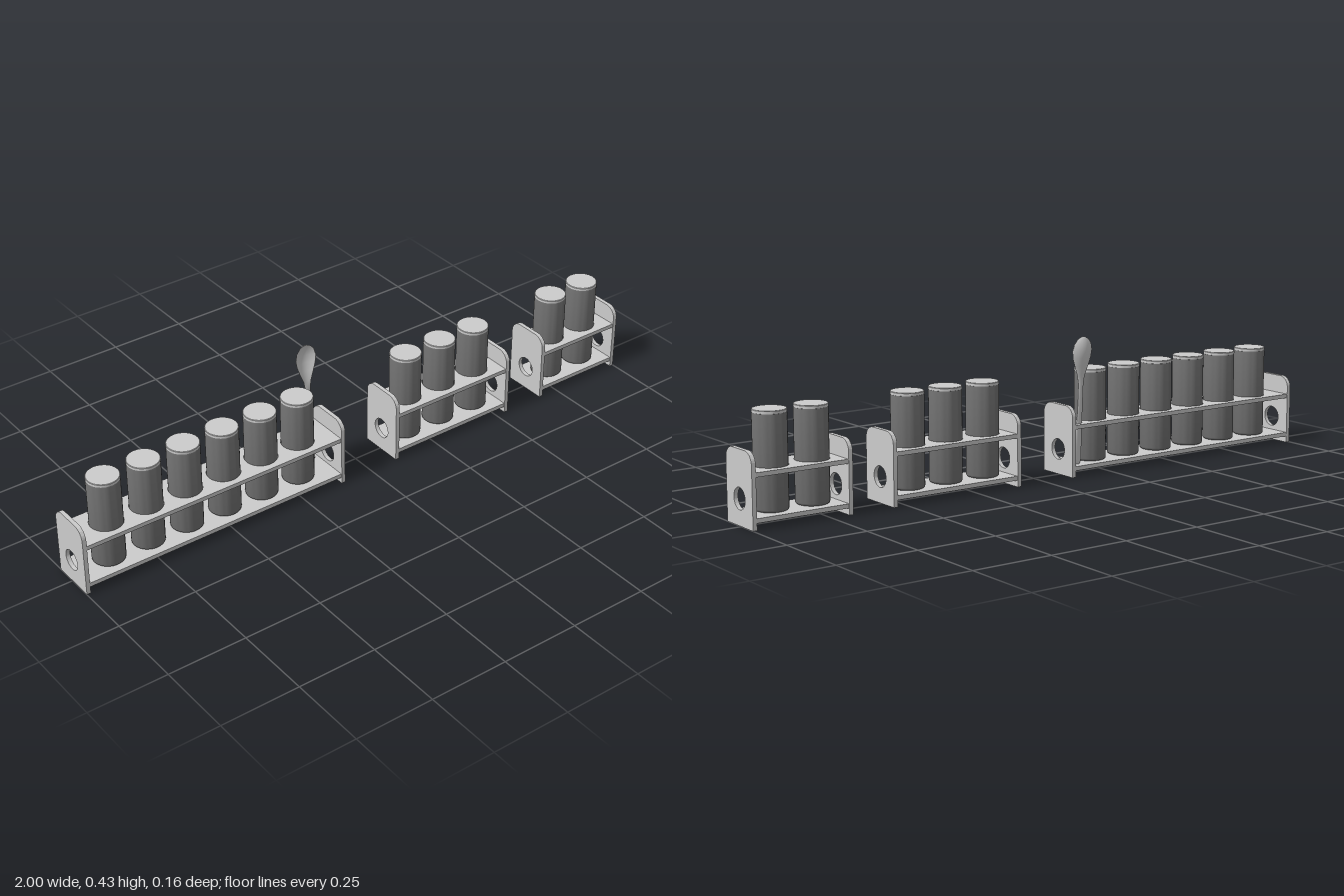
import * as THREE from 'three';
import { toCreasedNormals } from 'three/addons/utils/BufferGeometryUtils.js';

const Z = 0.006;          // depth centre of every rack
const DEPTH = 0.145;
const HEIGHT = 0.218;
const BOARD = 0.013;
const TUBE_R = 0.0495;
const PITCH = 0.132;

const grey = new THREE.MeshStandardMaterial({ color: 0xcccccc });
const dark = new THREE.MeshStandardMaterial({ color: 0x707070 });
const thin = new THREE.MeshStandardMaterial({ color: 0xcccccc, side: THREE.DoubleSide });

function add(parent, name, geometry, material = grey) {
  const mesh = new THREE.Mesh(geometry, material);
  mesh.name = name;
  parent.add(mesh);
  return mesh;
}

function circleHole(x, y, r) {
  return new THREE.Path().absarc(x, y, r, 0, Math.PI * 2, true);
}

function extrude(shape) {
  const g = new THREE.ExtrudeGeometry(shape, { depth: BOARD, bevelEnabled: false, curveSegments: 24 });
  return toCreasedNormals(g.translate(0, 0, -BOARD / 2), 0.6);
}

// Upright board with rounded top corners and a round finger hole
function endPanelGeometry() {
  const h = DEPTH / 2, r = 0.036;
  const s = new THREE.Shape();
  s.moveTo(-h, 0);
  s.lineTo(h, 0);
  s.lineTo(h, HEIGHT - r);
  s.absarc(h - r, HEIGHT - r, r, 0, Math.PI / 2);
  s.lineTo(-h + r, HEIGHT);
  s.absarc(-h + r, HEIGHT - r, r, Math.PI / 2, Math.PI);
  s.closePath();
  s.holes.push(circleHole(0, 0.078, 0.032));
  return extrude(s).rotateY(-Math.PI / 2);
}

// Horizontal board, with one hole per container
function shelfGeometry(x0, x1, holes) {
  const h = DEPTH / 2 - 0.002;
  const s = new THREE.Shape();
  s.moveTo(x0, -h);
  s.lineTo(x1, -h);
  s.lineTo(x1, h);
  s.lineTo(x0, h);
  s.closePath();
  for (const x of holes) s.holes.push(circleHole(x, 0, TUBE_R + 0.001));
  return extrude(s).rotateX(Math.PI / 2);
}

function lathe(points) {
  const g = new THREE.LatheGeometry(points.map(([r, y]) => new THREE.Vector2(r, y)), 40);
  return toCreasedNormals(g, 0.6);
}

// Canister body with softened bottom and shoulder
const bodyGeometry = lathe([
  [0, 0.033], [0.042, 0.033], [0.046, 0.0345], [0.0485, 0.037], [TUBE_R, 0.041],
  [TUBE_R, 0.307], [0.0485, 0.3105], [0.047, 0.311], [0, 0.311],
]);
const lidGeometry = lathe([
  [0, 0.311], [TUBE_R, 0.311], [TUBE_R, 0.3185], [0.048, 0.32], [0, 0.32],
]);
const panelGeometry = endPanelGeometry();

function createRack(name, x0, x1, firstTube, count) {
  const rack = new THREE.Group();
  rack.name = name;
  rack.position.z = Z;
  const tubes = Array.from({ length: count }, (_, i) => firstTube + i * PITCH);
  const a = x0 + BOARD / 2, b = x1 - BOARD / 2;

  add(rack, 'rightEndPanel', panelGeometry).position.x = a;
  add(rack, 'leftEndPanel', panelGeometry).position.x = b;
  add(rack, 'bottomShelf', shelfGeometry(x0 + BOARD, x1 - BOARD, [])).position.y = 0.0265;
  add(rack, 'holdingShelf', shelfGeometry(x0 + BOARD, x1 - BOARD, tubes)).position.y = 0.1545;

  for (const x of tubes) {
    const container = new THREE.Group();
    container.name = 'container';
    container.position.x = x;
    add(container, 'containerBody', bodyGeometry, dark);
    add(container, 'containerLid', lidGeometry);
    rack.add(container);
  }
  return rack;
}

// Spoon lofted from cross-sections: height, half width, front z, dish depth, thickness
function spoonGeometry() {
  const keys = [
    [0.031, 0.004, -0.033, 0, 0.005], [0.036, 0.011, -0.033, 0, 0.007], [0.05, 0.0135, -0.034, 0, 0.007],
    [0.12, 0.0115, -0.039, 0, 0.007], [0.22, 0.009, -0.046, 0, 0.007], [0.285, 0.0095, -0.049, 0.001, 0.007],
    [0.31, 0.014, -0.051, 0.004, 0.005], [0.34, 0.0255, -0.054, 0.010, 0.004], [0.365, 0.034, -0.056, 0.015, 0.003],
    [0.388, 0.037, -0.058, 0.016, 0.003], [0.408, 0.032, -0.060, 0.012, 0.003], [0.422, 0.021, -0.061, 0.006, 0.003],
    [0.429, 0.008, -0.062, 0.002, 0.002], [0.43, 0.001, -0.062, 0, 0.001],
  ];
  const half = 10, ring = half * 2, pos = [], idx = [];
  for (const [y, w, z, dish, t] of keys) {
    for (let j = 0; j < ring; j++) {
      const angle = (j / ring) * Math.PI * 2;
      const u = Math.cos(angle);
      pos.push(w * u, y, z - t / 2 - dish * (1 - u * u) + Math.sin(angle) * t / 2);
    }
  }
  for (let i = 0; i < keys.length - 1; i++) {
    for (let j = 0; j < ring; j++) {
      const a = i * ring + j, b = i * ring + (j + 1) % ring;
      idx.push(a, a + ring, b, b, a + ring, b + ring);
    }
  }
  // End caps
  const top = (keys.length - 1) * ring;
  for (let j = 1; j < ring - 1; j++) {
    idx.push(0, j, j + 1);
    idx.push(top, top + j + 1, top + j);
  }
  const g = new THREE.BufferGeometry();
  g.setAttribute('position', new THREE.Float32BufferAttribute(pos, 3));
  g.setIndex(idx);
  g.computeVertexNormals();
  return g;
}

export function createModel() {
  const model = new THREE.Group();
  model.name = 'containerRacks';
  model.add(createRack('largeRack', -1, -0.098, -0.881, 6));
  model.add(createRack('mediumRack', 0.095, 0.545, 0.185, 3));
  model.add(createRack('smallRack', 0.68, 1, 0.769, 2));
  add(model, 'spoon', spoonGeometry(), thin).position.x = -0.139;
  return model;
}
